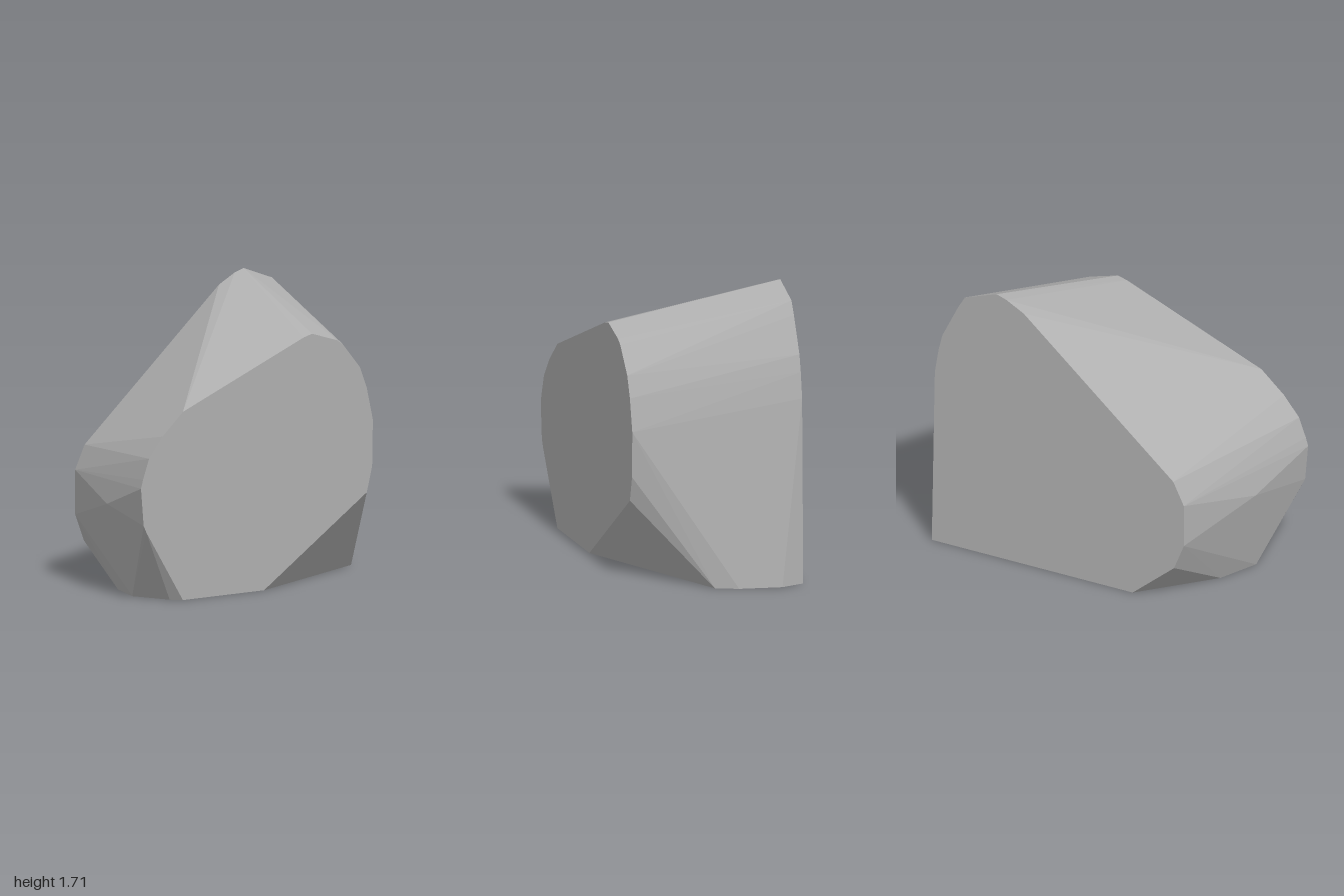
import * as THREE from 'three';
import { ConvexGeometry } from 'three/addons/geometries/ConvexGeometry.js';

const DEPTH = 0.48; // half depth between the two cut faces

// Outline of the flat front face, as x, y
const frontOutline = [
  [-1, 0.68], [-0.98, 0.46], [-0.96, 0.42], [-0.69, 0], [-0.09, 0],
  [0.67, 0.5], [0.71, 0.65], [0.715, 0.92], [0.67, 1.11], [0.62, 1.235],
  [0.49, 1.385], [0.45, 1.41], [0.265, 1.465], [0.205, 1.45],
  [-0.69, 1.1], [-0.84, 0.97], [-0.94, 0.85], [-0.985, 0.73],
];

// Outline of the flat back face, as x, y
const backOutline = [
  [0.955, 0], [0.935, 1.1], [0.91, 1.25], [0.885, 1.35], [0.78, 1.56],
  [0.735, 1.635], [0.525, 1.71], [0.46, 1.69], [0.344, 1.63],
  [-0.65, 0.79], [-0.72, 0.65], [-0.72, 0.39], [-0.655, 0.23], [-0.38, 0],
];

// Corners of the flat base between the two faces, as x, z
const baseCorners = [
  [-0.74, 0.42], [-0.825, 0.18], [-0.73, -0.07],
  [0.905, 0.04], [0.96, -0.09], [1, -0.34],
];

export function createModel() {
  const group = new THREE.Group();
  group.name = 'rock';

  const stone = new THREE.MeshStandardMaterial({ color: 0xb0b0b0 });
  stone.name = 'grey stone';

  // Faceted boulder: convex skin over both faces, the base and one side corner
  const points = [
    ...frontOutline.map(([x, y]) => new THREE.Vector3(x, y, DEPTH)),
    ...backOutline.map(([x, y]) => new THREE.Vector3(x, y, -DEPTH)),
    ...baseCorners.map(([x, z]) => new THREE.Vector3(x, 0, z)),
    new THREE.Vector3(-0.9, 0.53, 0.04),
  ];
  const boulder = new THREE.Mesh(new ConvexGeometry(points), stone);
  boulder.name = 'boulder';
  group.add(boulder);

  return group;
}
